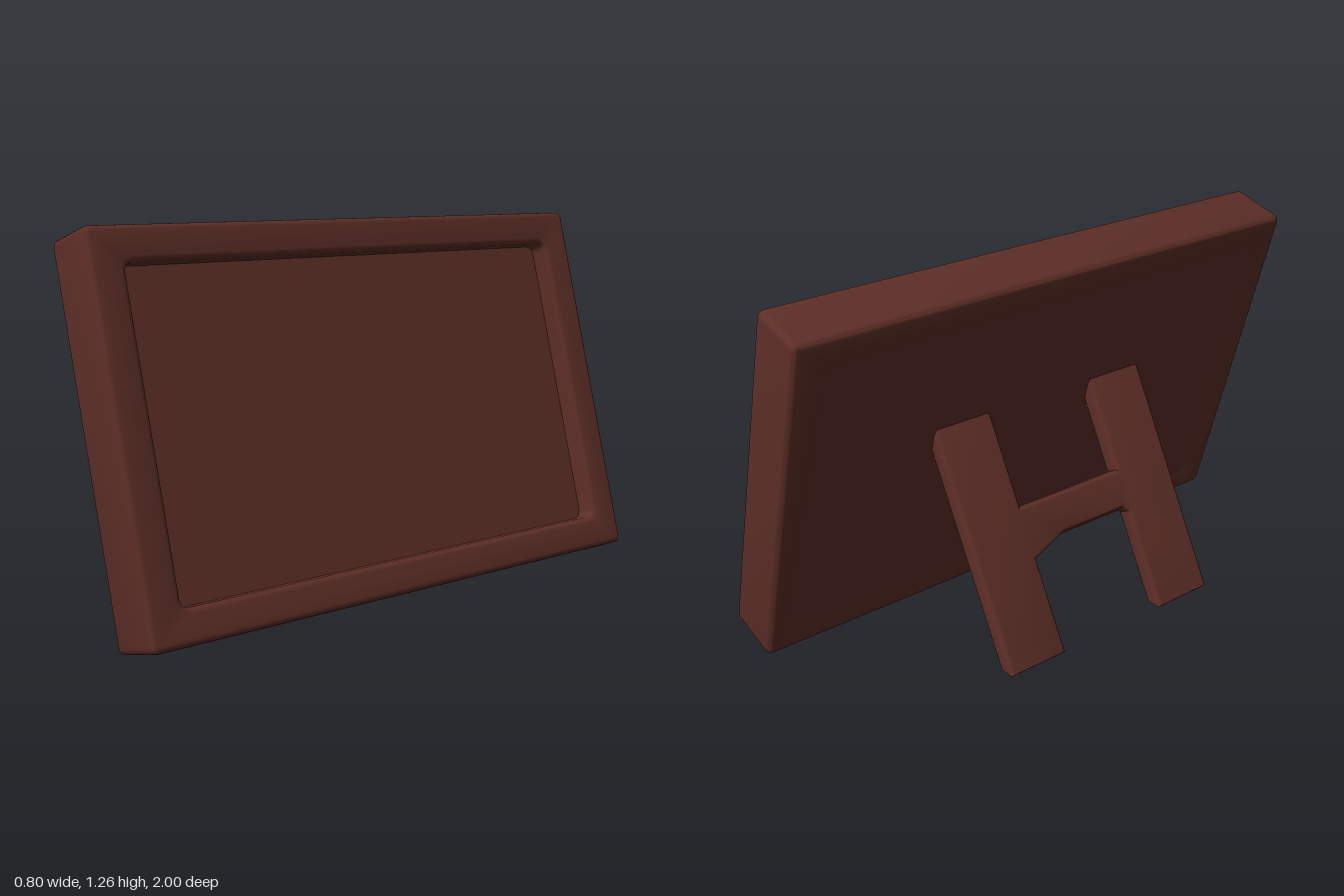
import * as THREE from 'three';
import { toCreasedNormals } from 'three/addons/utils/BufferGeometryUtils.js';

const material = new THREE.MeshStandardMaterial({ color: 0x5c2e26 });

// Corner points of a rounded rectangle, counter-clockwise, without repeats
function roundedRect(x0, y0, x1, y1, r, steps = 4) {
  const points = [];
  const centres = [[x1 - r, y1 - r], [x0 + r, y1 - r], [x0 + r, y0 + r], [x1 - r, y0 + r]];
  centres.forEach(([cx, cy], corner) => {
    for (let i = 0; i <= steps; i++) {
      const a = (corner + i / steps) * Math.PI / 2;
      points.push(new THREE.Vector2(cx + r * Math.cos(a), cy + r * Math.sin(a)));
    }
  });
  return points;
}

// Extrudes a slab with softened edges; its thickness runs from 0 to t along +x
function slab(shape, t, bevel) {
  const g = new THREE.ExtrudeGeometry(shape, {
    depth: t - 2 * bevel, bevelThickness: bevel, bevelSize: bevel,
    bevelOffset: -bevel, bevelSegments: 3,
  });
  return g.translate(0, 0, bevel).rotateY(Math.PI / 2);
}

function addMesh(parent, name, geometry) {
  const mesh = new THREE.Mesh(toCreasedNormals(geometry, 0.6), material);
  mesh.name = name;
  parent.add(mesh);
}

export function createModel() {
  const model = new THREE.Group();
  model.name = 'pictureFrame';

  // Leaning frame: border ring plus a recessed panel flush with the back
  const frame = new THREE.Group();
  frame.name = 'frame';
  const H = 1.25, T = 0.212, recess = 0.068;
  const ring = new THREE.Shape(roundedRect(-1, 0, 1, H, 0.022));
  ring.holes.push(new THREE.Path(roundedRect(-0.88, 0.112, 0.88, 1.135, 0.03).reverse()));
  addMesh(frame, 'frameBorder', slab(ring, T, 0.018));
  const panel = new THREE.BoxGeometry(T - recess, 1.063, 1.8);
  addMesh(frame, 'backPanel', panel.translate((T - recess) / 2, 0.6235, 0));
  frame.position.set(0.198, 0.004, 0);
  frame.rotation.z = 0.2775;
  model.add(frame);

  // Easel stand: two legs joined by a crossbar, open above and below
  const outline = [
    [-0.44, 0], [-0.21, 0], [-0.21, 0.36], [-0.19, 0.38], [0.08, 0.38], [0.22, 0.33],
    [0.22, 0], [0.445, 0], [0.445, 0.93], [0.22, 0.93], [0.22, 0.51],
    [-0.21, 0.51], [-0.21, 0.93], [-0.44, 0.93],
  ];
  const standShape = new THREE.Shape(outline.map(([x, y]) => new THREE.Vector2(x, y)));
  const lean = 0.492;
  const stand = slab(standShape, 0.065, 0.014);

  // Slant the foot ends so they stand level on the ground
  const p = stand.attributes.position;
  for (let i = 0; i < p.count; i++) {
    if (p.getY(i) < 0.1) p.setY(i, p.getY(i) + p.getX(i) * Math.tan(lean));
  }
  stand.rotateZ(-lean).translate(-0.408, 0, 0);
  addMesh(model, 'easelStand', stand);

  // Rounded hinge under the top of each leg
  for (const z of [-0.3325, 0.325]) {
    const hinge = new THREE.CylinderGeometry(0.03, 0.03, 0.2, 16);
    addMesh(model, 'legHinge', hinge.rotateX(Math.PI / 2).translate(0.012, 0.648, z));
  }

  return model;
}
